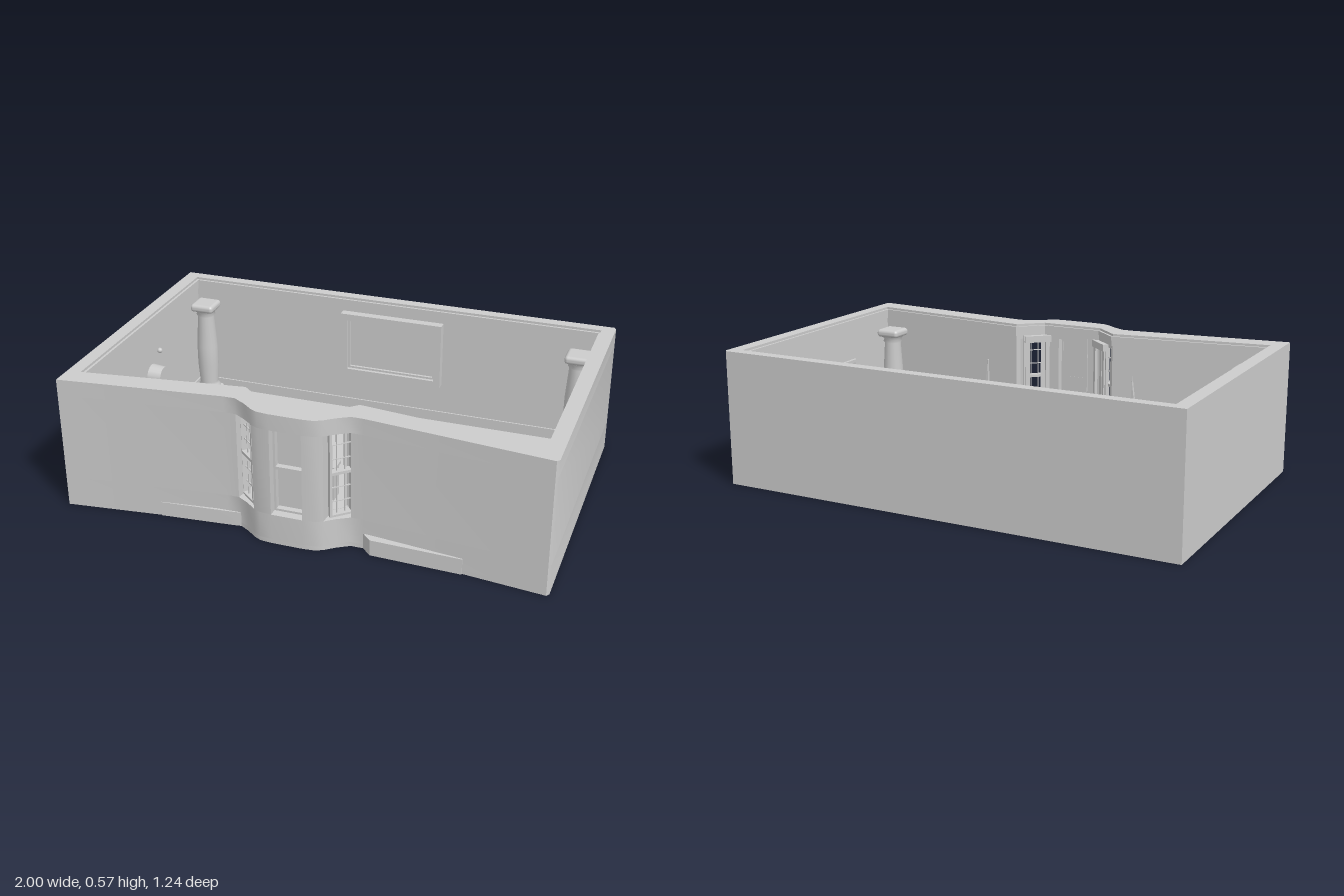
import * as THREE from 'three';
import { toCreasedNormals } from 'three/addons/utils/BufferGeometryUtils.js';
import { RoundedBoxGeometry } from 'three/addons/geometries/RoundedBoxGeometry.js';

const FLOOR = 0.018, TOP = 0.568, SILL = 0.13, HEAD = 0.5, BAY = -0.035;
const mat = new THREE.MeshStandardMaterial({ color: 0xcccccc });

function add(parent, name, geo, x = 0, y = 0, z = 0) {
  const mesh = new THREE.Mesh(geo, mat);
  mesh.name = name;
  mesh.position.set(x, y, z);
  parent.add(mesh);
  return mesh;
}
const box = (w, h, d) => new THREE.BoxGeometry(w, h, d);
function group(parent, name, x, y, z, ry = 0) {
  const g = new THREE.Group();
  g.name = name;
  g.position.set(x, y, z);
  g.rotation.y = ry;
  parent.add(g);
  return g;
}

// Extrudes a plan outline of [x, z] points from y0 to y1; gentle bends are smooth
const vecs = pts => pts.map(([x, z]) => new THREE.Vector2(x, -z));
function slab(outline, y0, y1, hole) {
  const shape = new THREE.Shape(vecs(outline));
  if (hole) shape.holes.push(new THREE.Path(vecs(hole)));
  const geo = new THREE.ExtrudeGeometry(shape, { depth: y1 - y0, bevelEnabled: false });
  return toCreasedNormals(geo.rotateX(-Math.PI / 2).translate(0, y0, 0), 0.7);
}

// Moves a closed plan outline inwards with mitred corners
function inset(pts, d) {
  const n = pts.length;
  const normal = (a, b) => {
    const l = Math.hypot(b[0] - a[0], b[1] - a[1]);
    return [(b[1] - a[1]) / l, -(b[0] - a[0]) / l];
  };
  return pts.map((p, i) => {
    const a = normal(pts[(i + n - 1) % n], p), b = normal(p, pts[(i + 1) % n]);
    const k = d / (1 + a[0] * b[0] + a[1] * b[1]);
    return [p[0] + (a[0] + b[0]) * k, p[1] + (a[1] + b[1]) * k];
  });
}

// Rectangular frame in the xy plane, centred, extruded along z
function frame(w, h, t, d) {
  const rect = (P, a, b) => {
    const p = new P();
    p.moveTo(-a, -b); p.lineTo(a, -b); p.lineTo(a, b); p.lineTo(-a, b); p.closePath();
    return p;
  };
  const s = rect(THREE.Shape, w / 2, h / 2);
  s.holes.push(rect(THREE.Path, w / 2 - t, h / 2 - t));
  return new THREE.ExtrudeGeometry(s, { depth: d, bevelEnabled: false }).translate(0, 0, -d / 2);
}

function buildWalls(room) {
  // Plan outlines run along the front from -x to +x, then round the back
  const outer = [[-1, 0.615], [-0.32, 0.535], [-0.27, 0.535], [-0.22, 0.565], [-0.18, 0.597], [-0.15, 0.612],
    [-0.1, 0.617], [0.03, 0.617], [0.08, 0.612], [0.11, 0.597], [0.15, 0.565], [0.2, 0.535], [0.25, 0.535],
    [0.99, 0.617], [1, 0.603], [1, -0.605], [0.99, -0.62], [-1, -0.62]];
  const inner = [[-0.943, 0.52], [-0.27, 0.43], [-0.17, 0.52], [0.1, 0.52], [0.2, 0.43], [0.943, 0.52],
    [0.943, -0.573], [-0.943, -0.573]];
  const walls = group(room, 'walls', 0, 0, 0);
  add(walls, 'base', slab(outer, 0, FLOOR));
  add(walls, 'lowerWall', slab(outer, FLOOR, SILL, inner));
  add(walls, 'upperWall', slab(outer, HEAD, TOP, inner));

  // Window-height wall, split by the three openings
  add(walls, 'mainWall', slab([...outer.slice(11), ...outer.slice(0, 3),
    [-0.255, 0.443], inner[1], inner[0], inner[7], inner[6], inner[5], inner[4], [0.185, 0.443]], SILL, HEAD));
  add(walls, 'bayPier', slab([...outer.slice(4, 7), [-0.1, 0.52], [-0.17, 0.52], [-0.185, 0.507]], SILL, HEAD));
  add(walls, 'bayPier', slab([...outer.slice(7, 10), [0.115, 0.507], [0.1, 0.52], [0.03, 0.52]], SILL, HEAD));

  // Cornice steps and skirting follow the inner outline
  for (const [name, d, y0, y1] of [['cornice', 0.01, 0.54, 0.558], ['cornice', 0.006, 0.515, 0.54],
    ['skirting', 0.007, FLOOR, 0.065]]) {
    add(walls, name, slab(inner, y0, y1, inset(inner, d)));
  }

  // Low plinths along the outer foot of the front wall
  add(walls, 'footPlinth', slab([[0.15, 0.53], [0.25, 0.535], [0.29, 0.574], [0.66, 0.586], [0.66, 0.55]], 0, 0.068));
  add(walls, 'footPlinth', slab([[-0.6, 0.55], [-0.6, 0.571], [-0.3, 0.545], [-0.22, 0.535]], 0, 0.062));
}

function buildWindow(room, x, z, ry, w, side) {
  const h = HEAD - SILL;
  const g = group(room, 'window', x, (SILL + HEAD) / 2, z, ry);
  add(g, 'windowFrame', frame(w, h, 0.009, 0.03));
  add(g, 'middleRail', box(w, 0.012, 0.03), 0, 0.005, 0);
  if (side) {
    for (const t of [-1, 1]) {
      add(g, 'glazingBar', box(0.003, h, 0.006), t * w / 6);
      add(g, 'curtain', box(0.018, h, 0.012), t * (w / 2 - 0.004), 0, -0.052);
    }
    for (const t of [-2, -1, 1, 2]) add(g, 'glazingBar', box(w, 0.003, 0.006), 0, t * h / 6);
    add(g, 'pelmet', box(w + 0.02, 0.03, 0.02), 0, h / 2, -0.055);
  } else {
    add(g, 'pane', box(w, h, 0.004), 0, 0, -0.012);
  }
  // Raised casing on the room side
  add(g, 'casing', frame(w + 0.025, h + 0.03, 0.014, 0.012), 0, 0, -0.045);
}

function buildColumn(room, x, z) {
  const g = group(room, 'column', x, FLOOR, z);
  const plinth = new RoundedBoxGeometry(0.11, 0.036, 0.11, 3, 0.015);
  add(g, 'plinth', plinth, 0, 0.018);
  add(g, 'capital', plinth, 0, 0.447);
  const profile = [[0.052, 0.034], [0.054, 0.045], [0.045, 0.055], [0.042, 0.068], [0.048, 0.16], [0.048, 0.25],
    [0.038, 0.4], [0.044, 0.408], [0.04, 0.416], [0.05, 0.432]];
  add(g, 'shaft', new THREE.LatheGeometry(profile.map(p => new THREE.Vector2(...p)), 16));
}

function buildDesk(room) {
  const g = group(room, 'desk', BAY - 0.017, FLOOR, 0.248);
  add(g, 'deskBody', box(0.18, 0.155, 0.06), 0, 0.0775);
  add(g, 'deskTop', box(0.195, 0.012, 0.072), 0, 0.161);
  add(g, 'deskBox', box(0.04, 0.03, 0.038), 0, 0.182);
  for (const s of [-1, 1]) {
    add(g, 'lampBase', new THREE.CylinderGeometry(0.008, 0.011, 0.02, 10), s * 0.06, 0.177);
    add(g, 'lampHead', new THREE.SphereGeometry(0.01, 10, 8), s * 0.06, 0.193);
  }
  add(g, 'chairSeat', box(0.072, 0.08, 0.072), 0, 0.04, 0.087);
}

function buildSofa(room, side) {
  const g = group(room, 'sofa', BAY + side * 0.27, FLOOR, 0.197, side * 0.39);
  add(g, 'sofaSeat', box(0.04, 0.05, 0.21), -side * 0.01, 0.025);
  add(g, 'sofaBack', box(0.022, 0.085, 0.21), side * 0.019, 0.0425);
}

function buildFlag(room, x, side) {
  const g = group(room, 'flag', x, FLOOR, 0.385);
  add(g, 'flagPole', new THREE.CylinderGeometry(0.003, 0.003, 0.385, 8), 0, 0.1925);
  // Cloth hangs from the pole and widens downwards, away from the bay
  const cloth = new THREE.Shape([[0, 0.365], [-side * 0.01, 0.05], [side * 0.042, 0.05]]
    .map(p => new THREE.Vector2(...p)));
  add(g, 'flagCloth', new THREE.ExtrudeGeometry(cloth, { depth: 0.014, bevelEnabled: false }), 0, 0, -0.007);
  add(g, 'flagFoot', new THREE.CylinderGeometry(0.012, 0.015, 0.012, 10), 0, 0.006);
}

function buildPicture(room, x, y, z, ry, w, h, t, d) {
  const g = group(room, 'picture', x, y, z, ry);
  add(g, 'pictureFrame', frame(w, h, t, d));
  add(g, 'pictureInnerFrame', frame(w - 1.6 * t, h - 1.6 * t, t * 0.5, d * 0.6), 0, 0, -d * 0.2);
  add(g, 'picturePanel', box(w - 2 * t, h - 2 * t, d * 0.3), 0, 0, -d * 0.35);
}

export function createModel() {
  const room = new THREE.Group();
  room.name = 'room';
  buildWalls(room);

  // Bay windows
  buildWindow(room, BAY, 0.565, 0, 0.13, false);
  for (const s of [-1, 1]) buildWindow(room, BAY + s * 0.188, 0.52, s * 0.73, 0.1, true);

  for (const x of [-0.87, 0.87]) for (const z of [-0.495, 0.448]) buildColumn(room, x, z);

  // Floor coverings
  add(room, 'rug', new THREE.CylinderGeometry(0.49, 0.49, 0.006, 18), -0.04, FLOOR + 0.003, 0.04);
  add(room, 'bayRug', new THREE.CylinderGeometry(0.28, 0.28, 0.012, 8), -0.04, FLOOR + 0.006, 0.31);

  buildDesk(room);
  for (const s of [-1, 1]) buildSofa(room, s);
  buildFlag(room, -0.385, -1);
  buildFlag(room, 0.32, 1);

  // Wall pieces
  buildPicture(room, 0.015, 0.35, -0.555, 0, 0.47, 0.3, 0.03, 0.04);
  buildPicture(room, 0.935, 0.295, 0.17, -Math.PI / 2, 0.12, 0.155, 0.014, 0.014);
  buildPicture(room, 0.935, 0.29, -0.07, -Math.PI / 2, 0.18, 0.16, 0.014, 0.014);
  const disc = new THREE.CylinderGeometry(0.045, 0.05, 0.06, 16).rotateZ(-Math.PI / 2);
  add(room, 'wallClock', disc, -0.908, 0.295, -0.06);
  add(room, 'wallKnob', new THREE.SphereGeometry(0.012, 10, 8), -0.935, 0.38, -0.14);
  return room;
}
